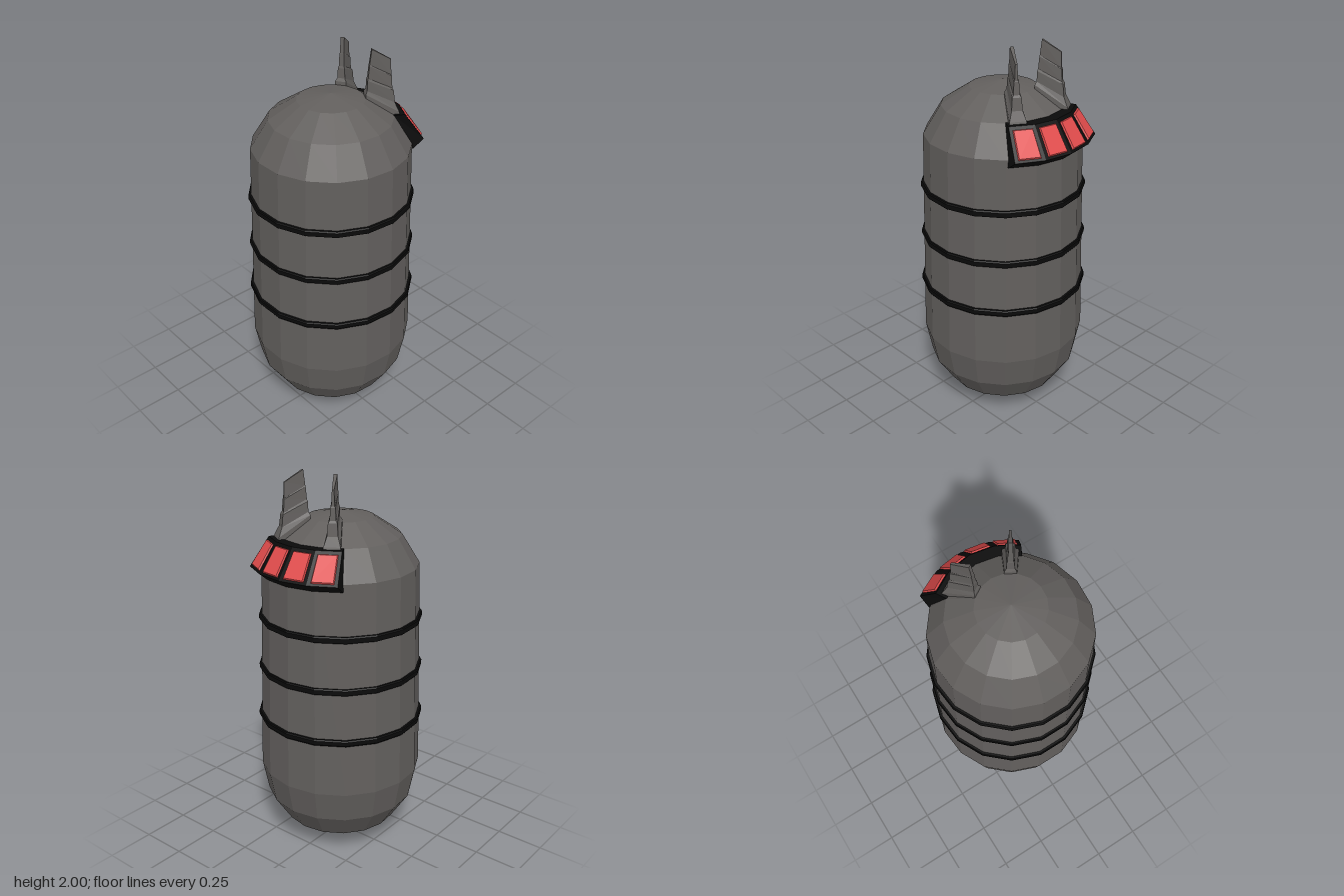
import * as THREE from 'three';

const SIDES = 17, AXIS_Z = 0.015, STEP = (2 * Math.PI) / SIDES;

// point at radius r, angle a measured from the back (-z) towards +x
const polar = (r, a, y) => new THREE.Vector3(r * Math.sin(a), y, AXIS_Z - r * Math.cos(a));

// closed solid through a list of equal-length rings, always facing outward
function loft(rings) {
  const tris = [], n = rings[0].length;
  for (let k = 0; k + 1 < rings.length; k++) {
    for (let i = 0; i < n; i++) {
      const j = (i + 1) % n, a = rings[k], b = rings[k + 1];
      tris.push([a[i], a[j], b[j]], [a[i], b[j], b[i]]);
    }
  }
  const first = rings[0], last = rings[rings.length - 1];
  for (let i = 1; i + 1 < n; i++) {
    tris.push([first[0], first[i + 1], first[i]], [last[0], last[i], last[i + 1]]);
  }
  const volume = tris.reduce((s, [a, b, c]) => s + a.dot(b.clone().cross(c)), 0);
  if (volume < 0) tris.forEach((t) => t.reverse());
  const geo = new THREE.BufferGeometry().setFromPoints(tris.flat());
  geo.computeVertexNormals();
  return geo;
}

// faceted solid of revolution with one corner pointing straight back
function turned(profile) {
  const pts = profile.map(([r, y]) => new THREE.Vector2(r, y));
  const geo = new THREE.LatheGeometry(pts, SIDES, Math.PI).toNonIndexed();
  geo.computeVertexNormals();
  return geo.translate(0, 0, AXIS_Z);
}

export function createModel() {
  const model = new THREE.Group();
  model.name = 'capsule';
  const material = (name, color) => {
    const m = new THREE.MeshStandardMaterial({ color, flatShading: true });
    m.name = name;
    return m;
  };
  const grey = material('warm grey', 0x625f5d);
  const black = material('black', 0x0a0a0a);
  const red = material('red', 0xe04b4b);
  const add = (name, geo, mat) => {
    const mesh = new THREE.Mesh(geo, mat);
    mesh.name = name;
    model.add(mesh);
  };

  // capsule body
  add('body', turned([
    [0, 0], [0.165, 0.04], [0.304, 0.13], [0.394, 0.27], [0.426, 0.435],
    [0.394, 1.533], [0.304, 1.677], [0.165, 1.767], [0, 1.795],
  ]), grey);

  // three hoops
  for (const [y, r] of [[0.73, 0.432], [1.0, 0.422], [1.266, 0.416]]) {
    add('band', turned([
      [r - 0.03, y - 0.016], [r - 0.004, y - 0.016], [r, y - 0.01],
      [r, y + 0.01], [r - 0.004, y + 0.016], [r - 0.03, y + 0.016],
    ]), black);
  }

  // visor: [radius, height, half-span in degrees] round its cross-section
  const section = [
    [0.3, 1.68, 42], [0.355, 1.68, 40], [0.455, 1.54, 37.2], [0.405, 1.5, 40.4], [0.37, 1.5, 42],
  ];
  const visorRing = (i) => section.map(([r, y, deg]) =>
    polar(r, THREE.MathUtils.degToRad(deg) * i / 2, y));
  const rings = [-2, -1, 0, 1, 2].map(visorRing);
  add('visor', loft(rings), black);

  // four raised panes on the sloping visor face
  for (let k = 0; k < 4; k++) {
    const [, a, b] = rings[k], [, d, c] = rings[k + 1];
    const normal = c.clone().sub(a).cross(d.clone().sub(b)).normalize();
    if (normal.y < 0) normal.negate();
    const at = (u, v, h) => a.clone().lerp(d, u).lerp(b.clone().lerp(c, u), v).addScaledVector(normal, h);
    const pane = (m, h) => [
      at(0.12 + m, 0.1 + m, h), at(0.88 - m, 0.1 + m, h),
      at(0.88 - m, 0.93 - m, h), at(0.12 + m, 0.93 - m, h),
    ];
    add('visorPane', loft([pane(0, -0.001), pane(0.03, 0.008)]), red);
  }

  // stepped fins: [inner radius, y, half thickness, outer radius, y, half thickness]
  const levels = [
    [0.16, 1.73, 0.03, 0.345, 1.63, 0.044],
    [0.163, 1.785, 0.028, 0.325, 1.69, 0.04],
    [0.17, 1.80, 0.019, 0.305, 1.735, 0.026],
    [0.172, 1.85, 0.017, 0.298, 1.795, 0.022],
    [0.175, 1.86, 0.013, 0.292, 1.805, 0.015],
    [0.18, 1.92, 0.012, 0.288, 1.865, 0.012],
    [0.181, 1.925, 0.010, 0.286, 1.87, 0.008],
    [0.19, 2.0, 0.009, 0.283, 1.945, 0.005],
  ];
  for (const side of [-1, 1]) {
    const angle = side * 1.5 * STEP;
    const across = new THREE.Vector3(Math.cos(angle), 0, Math.sin(angle));
    const corner = (r, y, t) => polar(r, angle, y).addScaledVector(across, t);
    add(side > 0 ? 'leftFin' : 'rightFin', loft(levels.map(([ri, yi, ti, ro, yo, to]) => [
      corner(ri, yi, ti), corner(ri, yi, -ti), corner(ro, yo, -to), corner(ro, yo, to),
    ])), grey);
  }
  return model;
}
